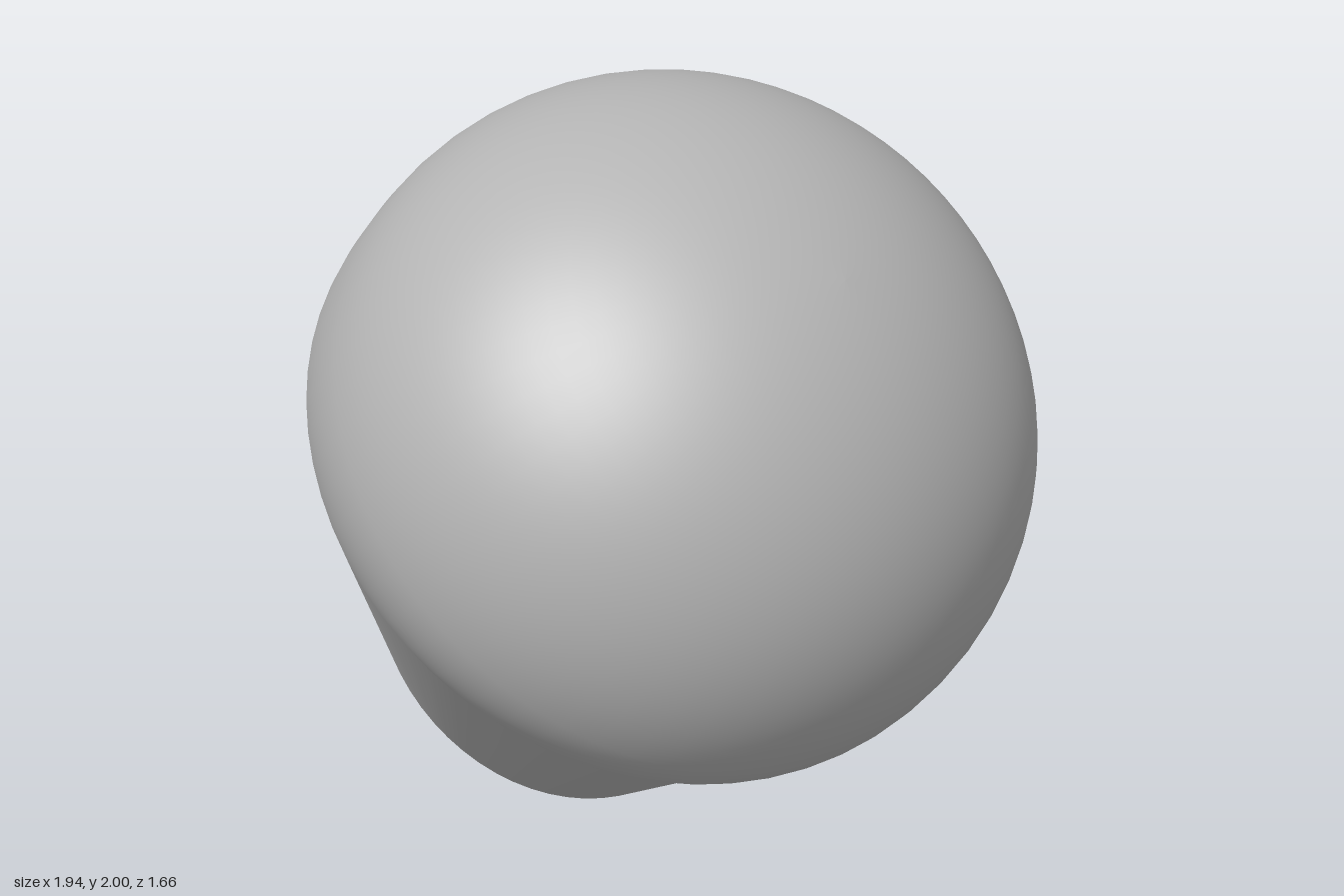
import * as THREE from 'three';

const SEG = 64;

// Smooth closed skin over rings given as [height, centreX, centreZ, radiusX, radiusZ]
function skin(rings) {
  const pos = [], idx = [];
  for (const [h, cx, cz, rx, rz] of rings) {
    for (let j = 0; j < SEG; j++) {
      const a = (j / SEG) * Math.PI * 2;
      pos.push(cx + rx * Math.cos(a), h, cz + rz * Math.sin(a));
    }
  }
  for (let i = 0; i < rings.length - 1; i++) {
    for (let j = 0; j < SEG; j++) {
      const a = i * SEG + j, b = i * SEG + ((j + 1) % SEG);
      idx.push(a, a + SEG, b, b, a + SEG, b + SEG);
    }
  }
  const g = new THREE.BufferGeometry();
  g.setAttribute('position', new THREE.Float32BufferAttribute(pos, 3));
  g.setIndex(idx);
  g.computeVertexNormals();
  return g;
}

export function createModel() {
  const grey = new THREE.MeshStandardMaterial({ color: 0xb4b4b4 });
  grey.name = 'grey';

  const model = new THREE.Group();
  model.name = 'tiltedDomedCup';
  // Everything is built upright, then leaned over towards +x
  const body = new THREE.Group();
  body.name = 'body';
  body.rotation.z = -Math.PI / 4;
  model.add(body);

  const add = (name, geometry) => {
    const mesh = new THREE.Mesh(geometry, grey);
    mesh.name = name;
    body.add(mesh);
    return mesh;
  };

  const base = [-0.187, -0.689, -0.328, 0.5, 0.5];
  const rim = [0.796, -0.774, 0.015, 0.746, 0.75];

  // Skewed tapering cup
  add('cup', skin([base, rim]));

  // Flat underside of the cup
  const cap = add('cupBase', new THREE.CircleGeometry(0.5, SEG).rotateX(Math.PI / 2));
  cap.position.set(base[1], base[0], base[2]);

  // Dome: lower part swells out of the rim, upper part is a half ellipsoid
  const mid = 1.046, rings = [];
  for (let i = 0; i <= 8; i++) {
    const t = 1 - i / 8, k = t * t;
    rings.push([mid - 0.25 * t, -0.736 - 0.038 * k, 0.025 - 0.01 * k, 0.785 - 0.039 * k, 0.805 - 0.055 * k]);
  }
  for (let i = 1; i <= 24; i++) {
    const a = (i / 24) * Math.PI / 2, c = Math.max(Math.cos(a), 1e-4);
    rings.push([mid + 0.7 * Math.sin(a), -0.736, 0.025, 0.785 * c, 0.805 * c]);
  }
  add('dome', skin(rings));

  return model;
}
